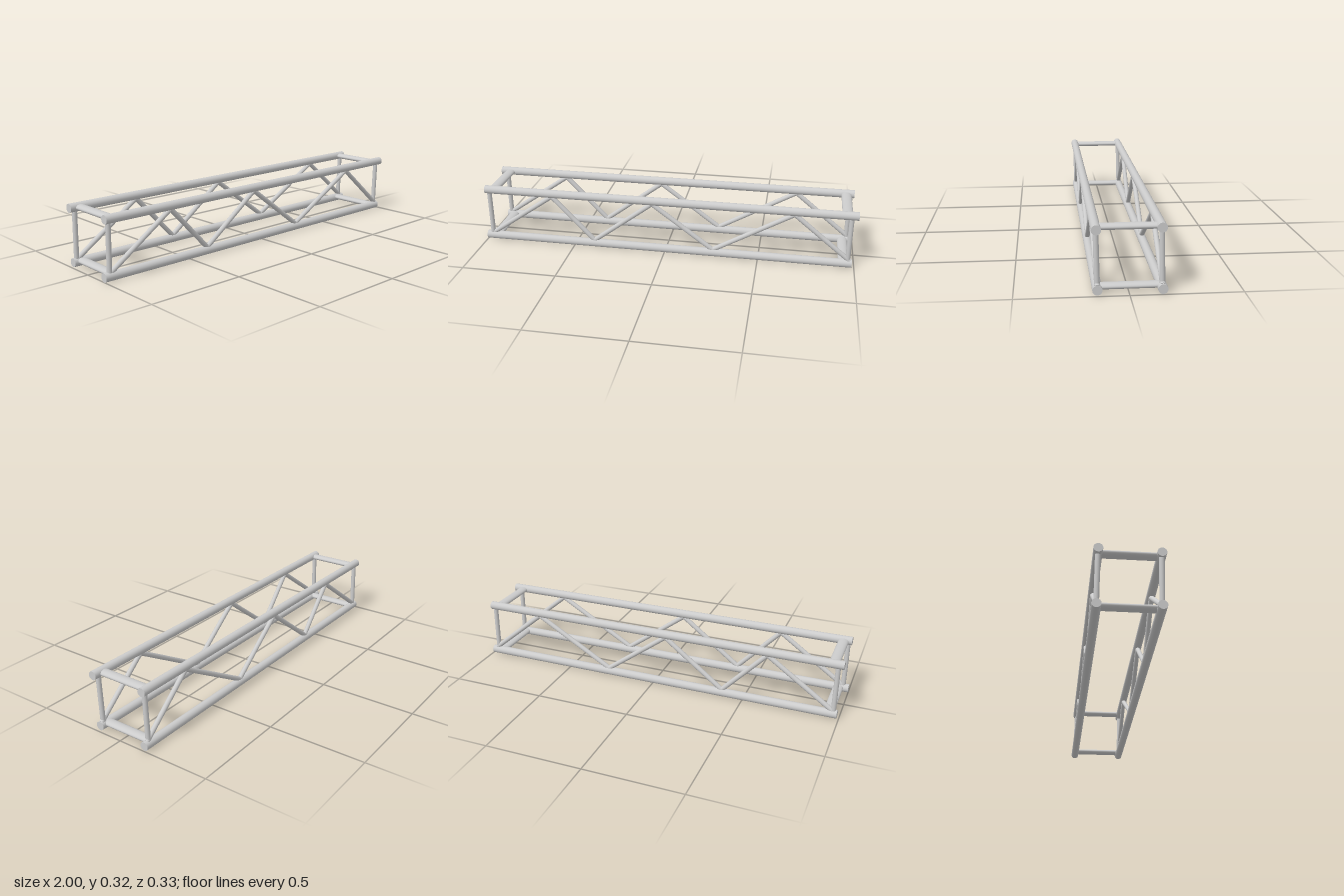
import * as THREE from 'three';

const material = new THREE.MeshStandardMaterial({ color: 0xcccccc });
const UP = new THREE.Vector3(0, 1, 0);

// Round tube between two points
function tube(name, a, b, radius, sides = 24) {
  const start = new THREE.Vector3(...a);
  const end = new THREE.Vector3(...b);
  const dir = end.clone().sub(start);
  const mesh = new THREE.Mesh(new THREE.CylinderGeometry(radius, radius, dir.length(), sides), material);
  mesh.name = name;
  mesh.position.copy(start).add(end).multiplyScalar(0.5);
  mesh.quaternion.setFromUnitVectors(UP, dir.normalize());
  return mesh;
}

export function createModel() {
  const group = new THREE.Group();
  group.name = 'boxTruss';

  const bottomY = 0.0225, topY = 0.296, chordRadius = 0.022, webRadius = 0.0125;

  // Each side leans slightly, so its top and bottom chords differ in z
  const sides = [
    { name: 'front', topZ: 0.145, bottomZ: 0.139, topX: [-0.99, 1], bottomX: [-1, 0.987] },
    { name: 'back', topZ: -0.139, bottomZ: -0.145, topX: [-1, 0.985], bottomX: [-0.99, 0.995] },
  ];
  // Zigzag nodes, alternating bottom and top
  const nodes = [-0.965, -0.617, -0.387, -0.067, 0.26, 0.68, 0.975];

  for (const s of sides) {
    const side = new THREE.Group();
    side.name = s.name + 'Side';

    // Main chords
    side.add(tube('topChord', [s.topX[0], topY, s.topZ], [s.topX[1], topY, s.topZ], chordRadius, 32));
    side.add(tube('bottomChord', [s.bottomX[0], bottomY, s.bottomZ], [s.bottomX[1], bottomY, s.bottomZ], chordRadius, 32));

    // End posts
    for (const x of [-0.97, 0.965]) {
      side.add(tube('endPost', [x, bottomY, s.bottomZ], [x, topY, s.topZ], webRadius));
    }

    // Diagonal lacing
    const node = (i) => (i % 2 ? [nodes[i], 0.28, s.topZ] : [nodes[i], 0.038, s.bottomZ]);
    for (let i = 0; i < nodes.length - 1; i++) {
      side.add(tube('diagonal', node(i), node(i + 1), webRadius));
    }
    group.add(side);
  }

  // Flattened cross bars joining the two sides at each end
  const [front, back] = sides;
  for (const x of [-0.947, 0.943]) {
    const bars = [
      ['topCrossBar', topY, front.topZ, back.topZ],
      ['bottomCrossBar', 0.028, front.bottomZ, back.bottomZ],
    ];
    for (const [name, y, z1, z2] of bars) {
      const bar = tube(name, [x, y, z1], [x, y, z2], 0.0145);
      bar.geometry.scale(1.85, 1, 1);
      group.add(bar);
    }
  }
  return group;
}
